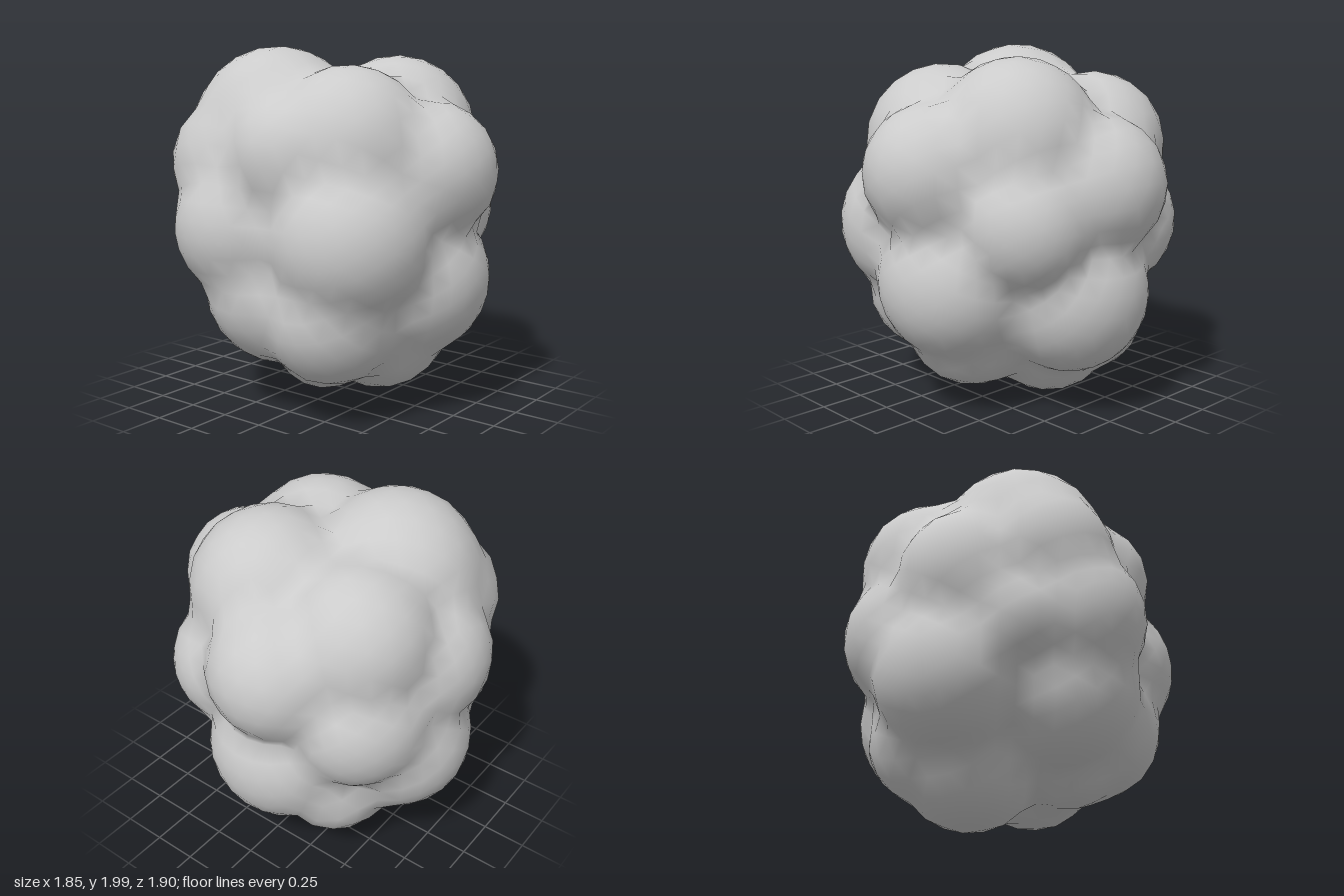
import * as THREE from 'three';
import { mergeVertices } from 'three/addons/utils/BufferGeometryUtils.js';

// Round lumps of the cluster: x, y, z, radius
const LUMPS = [
  // front
  [-0.02, 1.34, 0.57, 0.38], [-0.43, 1.00, 0.36, 0.44], [0.02, 0.75, 0.43, 0.45],
  [0.40, 1.09, 0.30, 0.38],
  // top
  [-0.30, 1.46, 0.26, 0.44], [0.23, 1.50, 0.20, 0.45], [-0.25, 1.52, -0.27, 0.48],
  [0.25, 1.44, -0.38, 0.415],
  // left and right sides
  [0.54, 1.27, -0.09, 0.385], [0.40, 0.67, -0.03, 0.45], [-0.51, 1.03, -0.25, 0.42],
  [-0.51, 1.42, 0.05, 0.35], [-0.42, 0.60, 0.24, 0.39], [-0.40, 0.69, -0.12, 0.43],
  // back
  [-0.08, 1.22, -0.54, 0.41], [0.31, 1.01, -0.43, 0.41], [0.04, 0.72, -0.50, 0.43],
  [-0.33, 0.94, -0.53, 0.29], [-0.42, 1.36, -0.38, 0.40],
  // underside
  [0.13, 0.40, -0.15, 0.40], [-0.04, 0.49, 0.28, 0.39], [-0.33, 0.45, 0.13, 0.31],
  [0.31, 0.47, -0.28, 0.33],
].map(([x, y, z, radius]) => ({ centre: new THREE.Vector3(x, y - 1, z), radius }));

// Distance along a direction to the outermost lump surface
function outerDistance(dir) {
  let best = 0.5;
  for (const { centre, radius } of LUMPS) {
    const along = dir.dot(centre);
    const inside = radius * radius - centre.lengthSq() + along * along;
    if (inside > 0) best = Math.max(best, along + Math.sqrt(inside));
  }
  return best;
}

export function createModel() {
  const group = new THREE.Group();
  group.name = 'lumpyCluster';

  // Coarse sphere with shared vertices, giving soft creases between the lumps
  let geometry = new THREE.IcosahedronGeometry(1, 9);
  geometry.deleteAttribute('uv');
  geometry.deleteAttribute('normal');
  geometry = mergeVertices(geometry, 1e-4);
  const pos = geometry.attributes.position;
  const v = new THREE.Vector3();
  for (let i = 0; i < pos.count; i++) {
    v.fromBufferAttribute(pos, i).normalize();
    v.multiplyScalar(outerDistance(v));
    pos.setXYZ(i, v.x, v.y + 1, v.z);
  }
  geometry.computeVertexNormals();

  const mesh = new THREE.Mesh(geometry, new THREE.MeshStandardMaterial({ color: 0xcccccc }));
  mesh.name = 'lumpyBody';
  group.add(mesh);
  return group;
}
